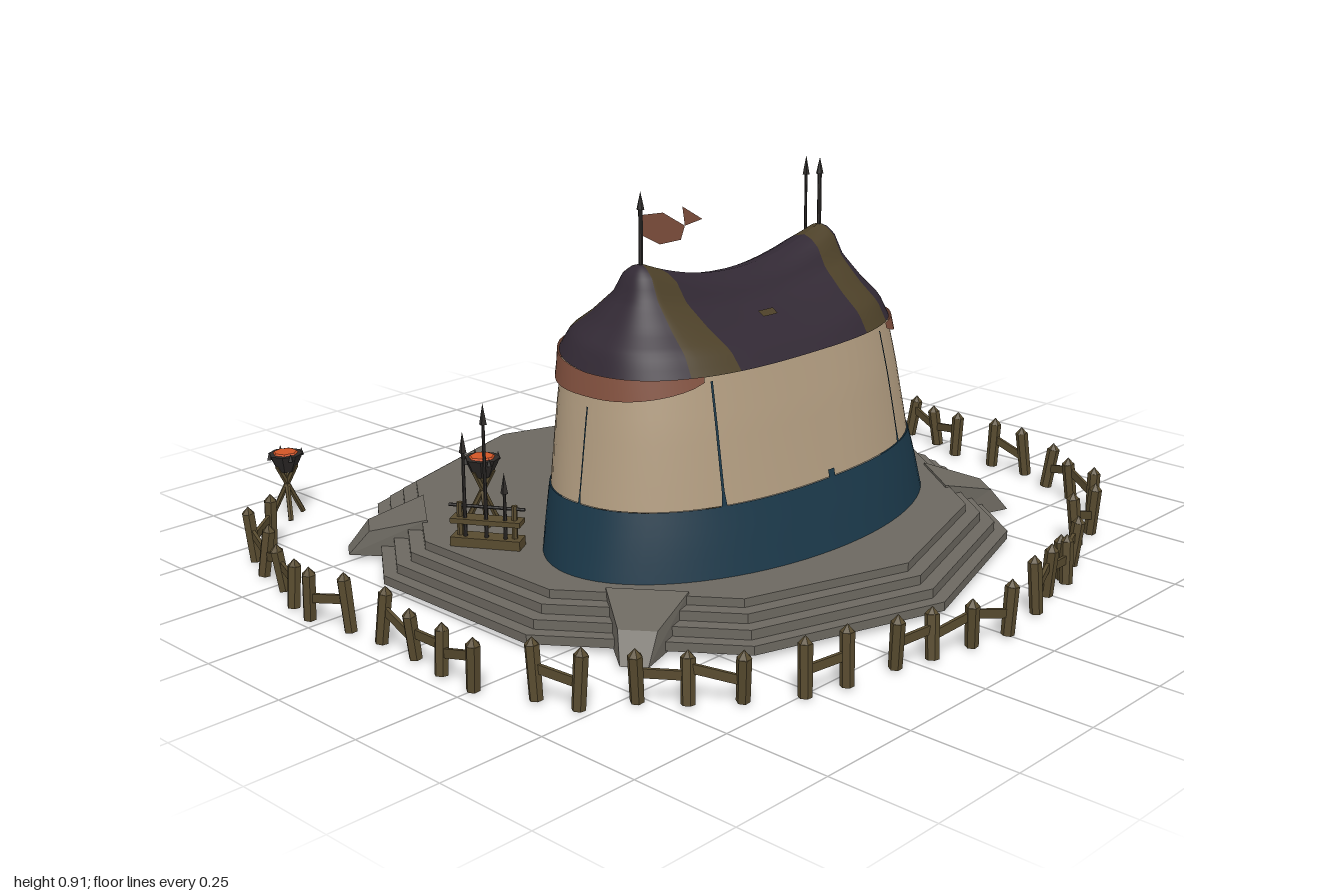
import * as THREE from 'three';

const mat = (name, color, extra = {}) => {
  const m = new THREE.MeshStandardMaterial({ color, ...extra });
  m.name = name;
  return m;
};
const flat = { flatShading: true }, open = { side: THREE.DoubleSide };

// Piecewise linear lookup
function ramp(pts, x) {
  for (let i = 1; i < pts.length; i++) {
    const [a, va] = pts[i - 1], [b, vb] = pts[i];
    if (x <= b) return va + (vb - va) * Math.max(0, (x - a) / (b - a));
  }
  return pts[pts.length - 1][1];
}

// Surface grid: u runs around the tent, v runs downwards
function grid(u0, u1, nu, v0, v1, nv, f) {
  const pos = [], idx = [];
  for (let j = 0; j <= nv; j++) for (let i = 0; i <= nu; i++)
    pos.push(...f(u0 + (u1 - u0) * i / nu, v0 + (v1 - v0) * j / nv));
  for (let j = 0; j < nv; j++) for (let i = 0; i < nu; i++) {
    const a = j * (nu + 1) + i, c = a + nu + 1;
    idx.push(a, a + 1, c, a + 1, c + 1, c);
  }
  const g = new THREE.BufferGeometry();
  g.setAttribute('position', new THREE.Float32BufferAttribute(pos, 3));
  g.setIndex(idx);
  g.computeVertexNormals();
  return g;
}

// Rounded oval outline
function oval(t, cx, rx, rz, n) {
  const p = v => Math.sign(v) * Math.abs(v) ** (2 / n);
  return [cx + rx * p(Math.cos(t)), 0.01 + rz * p(Math.sin(t))];
}

// Tent wall: flares from the eave to the ground
const FLARE = [[0.09, 1], [0.18, 0.76], [0.25, 0.56], [0.42, 0.25], [0.54, 0]];
function wallPoint(t, y, off = 0) {
  const k = ramp(FLARE, y);
  const [x, z] = oval(t, 0.085 + 0.035 * k, 0.24 + 0.09 * k + off, 0.455 + 0.105 * k + off, 2.6 - 0.6 * k);
  return [x, y, z];
}
// Half-width of the entrance by height: tied back at the waist, loose at the foot
const ENTRANCE = [[0.09, 0.6], [0.17, 0.66], [0.27, 0.74], [0.4, 0.57], [0.54, 0.36]];
const wallEnd = y => Math.PI - ramp(ENTRANCE, y);

// Tent roof: ridge sagging between two peaks, s = 0 at the ridge and 1 at the eave
const SLOPE = [[0, 0], [0.12, 0.04], [0.22, 0.12], [0.34, 0.34], [0.62, 0.6], [0.87, 0.79], [1, 1]];
const RIDGE = [[0, 0], [0.22, 0.25], [0.33, 0.305]];
const eaveY = t => 0.53 + 0.025 * Math.min(1, Math.max(0, -1.6 * Math.cos(t)));
function roofPoint(t, s, off = 0) {
  const [ex, ez] = oval(t, 0.085, 0.247, 0.46, 2.6);
  const w = ez - 0.01, rz = Math.sign(w) * ramp(RIDGE, Math.abs(w));
  const ry = 0.69 + 0.062 * (rz / 0.305) ** 2;
  return [0.1 + (ex - 0.1) * s, ry + (eaveY(t) - ry) * ramp(SLOPE, s) + off, 0.015 + rz + (ez - 0.015 - rz) * s];
}

export function createModel() {
  const M = {
    stone: mat('stone grey', 0x6c6860, flat),
    canvas: mat('cream canvas', 0xb09b7f, open),
    blue: mat('blue canvas', 0x1a3748, open),
    purple: mat('purple canvas', 0x322934, open),
    olive: mat('olive canvas', 0x4c4028, open),
    red: mat('rust cloth', 0x81503e, open),
    wood: mat('weathered wood', 0x584b2f, flat),
    iron: mat('dark iron', 0x2e2b29, flat),
    coal: mat('glowing coal', 0xd25526, flat),
  };
  const root = new THREE.Group();
  root.name = 'tentCamp';
  const add = (parent, name, geo, m, x = 0, y = 0, z = 0) => {
    const o = new THREE.Mesh(geo, m);
    o.name = name;
    o.position.set(x, y, z);
    parent.add(o);
    return o;
  };
  const group = (name, x = 0, y = 0, z = 0, ry = 0) => {
    const g = new THREE.Group();
    g.name = name;
    g.position.set(x, y, z);
    g.rotation.y = ry;
    root.add(g);
    return g;
  };
  // Round bar between two points
  const bar = (parent, name, a, b, r, m, r2 = r) => {
    const A = new THREE.Vector3(...a), B = new THREE.Vector3(...b), d = B.clone().sub(A);
    const o = add(parent, name, new THREE.CylinderGeometry(r2, r, d.length(), 6), m);
    o.position.copy(A).add(B).multiplyScalar(0.5);
    o.quaternion.setFromUnitVectors(new THREE.Vector3(0, 1, 0), d.normalize());
    return o;
  };

  // Stepped ten-sided platform
  const base = group('platform', -0.06, 0, 0.01);
  [[0.782, 0.036], [0.75, 0.058], [0.715, 0.08], [0.68, 0.1]].forEach(([r, top]) => {
    const h = top - 0.015;
    add(base, 'platformStep', new THREE.CylinderGeometry(r, r, h, 10), M.stone, 0, 0.015 + h / 2).rotation.y = Math.PI / 2;
  });
  // Sloping corner blocks
  for (const deg of [54, 126, 234, 306]) {
    const g = new THREE.BoxGeometry(1, 1, 1), p = g.attributes.position;
    for (let i = 0; i < p.count; i++) {
      const out = p.getX(i) > 0, up = p.getY(i) > 0;
      p.setXYZ(i, out ? (up ? 0.77 : 0.82) : 0.635, up ? (out ? 0.07 : 0.106) : 0.01,
        Math.sign(p.getZ(i)) * (out ? (up ? 0.042 : 0.03) : 0.09));
    }
    add(base, 'cornerBlock', g, M.stone).rotation.y = deg * Math.PI / 180;
  }

  // Tent walls, open towards -x
  const tent = group('tent');
  add(tent, 'wallCanvas', grid(-1, 1, 60, 0, 1, 10, (u, v) => {
    const top = eaveY(u * wallEnd(0.54)), y = top + (0.25 - top) * v;
    return wallPoint(u * wallEnd(y), y);
  }), M.canvas);
  add(tent, 'wallBase', grid(-1, 1, 60, 0.25, 0.095, 6, (u, y) => wallPoint(u * wallEnd(y), y, 0.003)), M.blue);
  // Blue lacing, widening towards the foot: angle, top height and half-width
  for (const [t, top, w] of [[0.6, 0.52, 0.008], [-0.565, 0.52, 0.008], [1.56, 0.46, 0.004], [-1.56, 0.46, 0.004], [0, 0.268, 0.006]])
    add(tent, 'wallLacing', grid(-1, 1, 1, top, 0.25, 8,
      (u, y) => wallPoint(t + u * (y < 0.27 ? 2 * w : w), y, 0.004)), M.blue);

  // Roof panels: purple centre and ends, olive stripes running wider at the entrance side
  const PI = Math.PI, inner = 0.393, backEdge = 0.74, frontEdge = 0.95;
  const panel = (name, a, b, n, m) => add(tent, name, grid(a, b, n, 0, 1, 18, roofPoint), m);
  for (const [c, edge] of [[0, backEdge], [PI, frontEdge]]) {
    panel('roofCentre', c - inner, c + inner, 16, M.purple);
    panel('roofStripe', c + inner, c + edge, 8, M.olive);
    panel('roofStripe', c - edge, c - inner, 8, M.olive);
  }
  panel('roofEnd', backEdge, PI - frontEdge, 24, M.purple);
  panel('roofEnd', frontEdge - PI, -backEdge, 24, M.purple);
  // Tapered trim hanging below each rounded end
  for (const c of [PI / 2, -PI / 2])
    add(tent, 'endTrim', grid(c - 0.92, c + 0.92, 24, 0, 1, 2, (t, v) => {
      const drop = 0.05 * Math.sqrt(Math.max(0, 1 - ((t - c) / 0.95) ** 2)), top = eaveY(t) + 0.003;
      return wallPoint(t, top - v * (drop + top - 0.533), 0.01);
    }), M.red);
  // Narrow hem along the entrance eave
  add(tent, 'entranceHem', grid(PI - 0.65, PI + 0.65, 20, 0, 1, 1, (t, v) => {
    const [x, y, z] = roofPoint(t, 1);
    return [x - 0.003, y + 0.004 - 0.014 * v, z];
  }), M.red);
  for (const t of [0.02, PI + 0.03])
    add(tent, 'roofPatch', grid(t - 0.02, t + 0.03, 2, 0.5, 0.57, 2, (u, v) => roofPoint(u, v, 0.004)), M.olive);

  // Roof poles with pointed tips
  for (const z of [0.32, -0.29]) {
    bar(tent, 'roofPole', [0.1, 0.1, z], [0.1, 0.875, z], 0.006, M.iron, 0.005);
    add(tent, 'poleTip', new THREE.ConeGeometry(0.009, 0.04, 6), M.iron, 0.1, 0.892, z);
  }
  // Torn pennant
  const cloth = pts => new THREE.Shape(pts.map(([z, y]) => new THREE.Vector2(-z, y)));
  const flag = new THREE.ShapeGeometry([
    cloth([[0.325, 0.86], [0.25, 0.855], [0.18, 0.815], [0.193, 0.785], [0.26, 0.785], [0.318, 0.815]]),
    cloth([[0.188, 0.86], [0.123, 0.822], [0.18, 0.815]])]);
  add(tent, 'flag', flag.rotateY(PI / 2), M.red, 0.1);

  // Table inside the tent
  const table = group('table', 0.06, 0.1, 0.17, -0.5);
  add(table, 'tableTop', new THREE.BoxGeometry(0.1, 0.014, 0.25), M.wood, 0, 0.07);
  add(table, 'paper', new THREE.BoxGeometry(0.05, 0.004, 0.06), M.canvas, 0, 0.079, 0.02);
  for (const x of [-1, 1]) for (const z of [-1, 1])
    bar(table, 'tableLeg', [x * 0.045, 0, z * 0.1], [x * 0.03, 0.066, z * 0.08], 0.009, M.wood);

  // Weapon racks: foot plank, uprights, cross bar and spears [offset, height]
  const rack = (x, z, ry, spears) => {
    const g = group('weaponRack', x, 0.1, z, ry);
    add(g, 'rackFoot', new THREE.BoxGeometry(0.165, 0.022, 0.045), M.wood, 0, 0.011);
    add(g, 'rackShelf', new THREE.BoxGeometry(0.165, 0.012, 0.04), M.wood, 0, 0.06);
    bar(g, 'rackBar', [-0.09, 0.092, 0], [0.09, 0.092, 0], 0.004, M.iron);
    for (const s of [-1, 1]) bar(g, 'rackUpright', [s * 0.065, 0, 0], [s * 0.065, 0.1, 0], 0.007, M.wood);
    for (const [o, h] of spears) {
      bar(g, 'spearShaft', [o, 0.01, 0.008], [o, h - 0.035, 0.008], 0.005, M.iron, 0.0035);
      add(g, 'spearHead', new THREE.ConeGeometry(0.009, 0.05, 4), M.iron, o, h - 0.025, 0.008);
    }
  };
  rack(-0.15, -0.55, -0.79, [[0, 0.755], [-0.05, 0.2], [0.045, 0.17]]);
  rack(-0.145, 0.575, 0.54, [[0, 0.34], [-0.05, 0.27], [0.045, 0.18]]);
  rack(0.12, 0.41, 0.3, [[-0.04, 0.15], [0, 0.18], [0.04, 0.15]]);

  // Braziers on crossed legs
  for (const [x, y, z] of [[-0.86, 0, -0.59], [-0.86, 0, 0.62], [-0.27, 0.09, -0.43], [-0.27, 0.09, 0.48]]) {
    const g = group('brazier', x, y, z);
    for (let i = 0; i < 3; i++) {
      const a = i * 2 * PI / 3 + 0.5, c = Math.cos(a), s = Math.sin(a);
      bar(g, 'brazierLeg', [c * 0.043, 0.005, s * 0.043], [-c * 0.026, 0.14, -s * 0.026], 0.007, M.wood);
    }
    add(g, 'brazierBowl', new THREE.CylinderGeometry(0.043, 0.022, 0.045, 8), M.iron, 0, 0.146);
    add(g, 'coals', new THREE.CylinderGeometry(0.028, 0.032, 0.006, 7), M.coal, 0, 0.17);
    for (let i = 0; i < 4; i++) {
      const a = i * PI / 2 + 0.3;
      add(g, 'rimSpike', new THREE.ConeGeometry(0.007, 0.02, 4), M.iron, Math.cos(a) * 0.041, 0.168, Math.sin(a) * 0.041);
    }
  }

  // Broken ring fence: runs of posts as x, z pairs
  const runs = [
    [-0.72, -0.76, -0.66, -0.85, -0.56, -0.89, -0.455, -0.925], [-0.31, -0.91, -0.22, -0.955],
    [-0.11, -0.98, -0.01, -0.95, 0.09, -0.91], [0.215, -0.905, 0.315, -0.9],
    [0.42, -0.865, 0.51, -0.82, 0.61, -0.77], [0.69, -0.64, 0.7, -0.545],
    [0.77, -0.435, 0.795, -0.34], [0.815, -0.33, 0.83, -0.235, 0.86, -0.135],
    [0.885, 0, 0.865, 0.11, 0.835, 0.21, 0.815, 0.305], [0.79, 0.435, 0.76, 0.53],
    [0.69, 0.635, 0.61, 0.71, 0.535, 0.78], [0.475, 0.875, 0.375, 0.905],
    [0.26, 0.965, 0.15, 0.955, 0.05, 0.95, -0.06, 0.94], [-0.165, 0.955, -0.275, 0.975],
    [-0.36, 0.955, -0.46, 0.92, -0.56, 0.89, -0.66, 0.86, -0.715, 0.77]];
  const fence = group('fence');
  let n = 0;
  for (const r of runs) for (let i = 0; i < r.length; i += 2, n++) {
    const x = r[i], z = r[i + 1], dx = 0.006 * Math.sin(n * 2.4), dz = 0.006 * Math.cos(n * 3.7);
    const h = 0.112 + 0.012 * Math.sin(n * 5.1);
    bar(fence, 'fencePost', [x - dx, 0.006, z - dz], [x + dx, h, z + dz], 0.015, M.wood, 0.016);
    add(fence, 'postTip', new THREE.ConeGeometry(0.016, 0.018, 6), M.wood, x + dx, h + 0.008, z + dz);
    if (i + 2 < r.length) {
      // Slanted plank to the next post
      const ex = r[i + 2] - x, ez = r[i + 3] - z, len = Math.hypot(ex, ez);
      const rail = add(fence, 'fenceRail', new THREE.BoxGeometry(len, 0.02, 0.008), M.wood, x + ex / 2, 0.068, z + ez / 2);
      rail.rotation.set(0, Math.atan2(-ez, ex), 0.3 * Math.sin(n * 1.9));
    }
  }
  return root;
}
